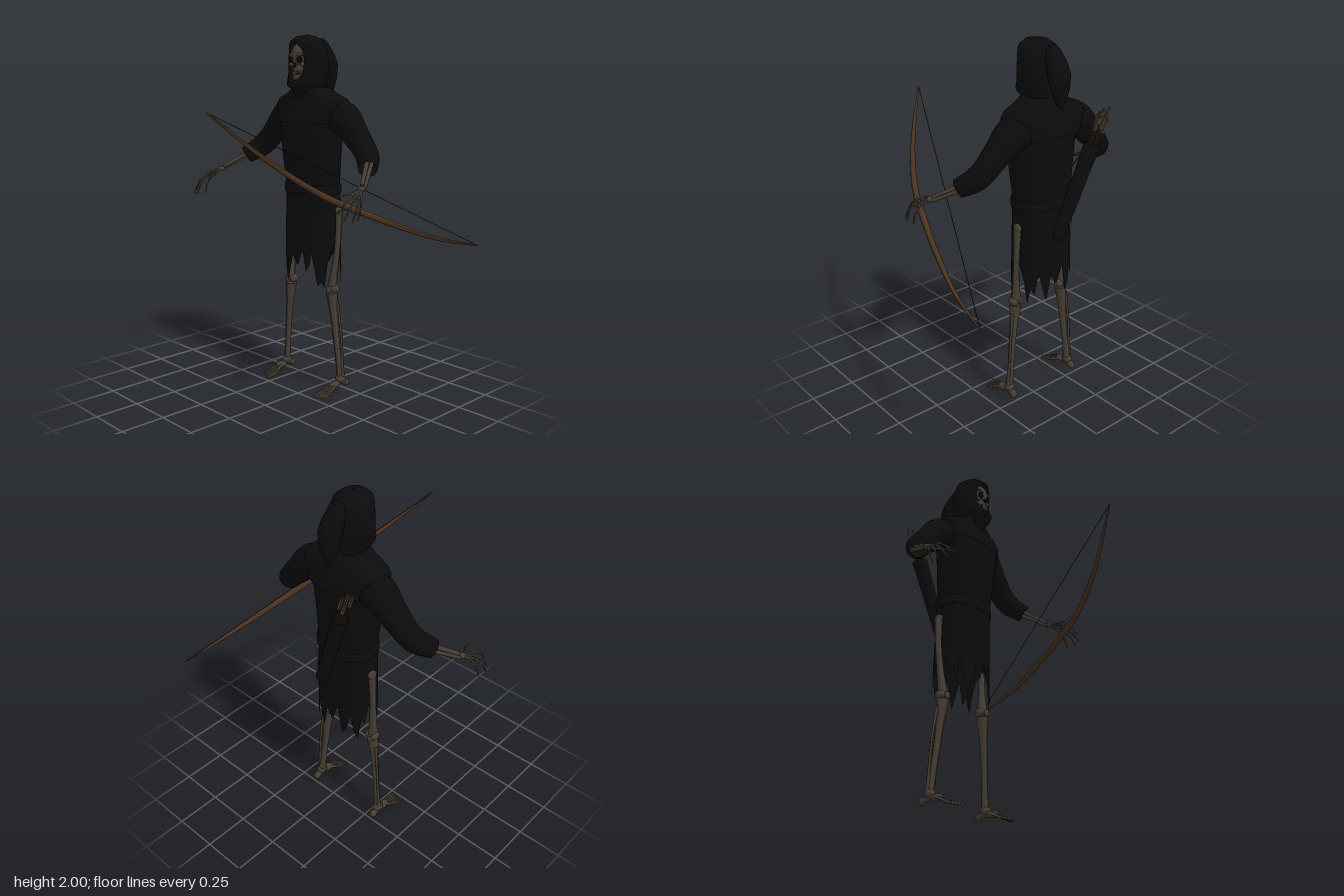
import * as THREE from 'three';

const mat = (name, color, side = THREE.FrontSide) => {
  const m = new THREE.MeshStandardMaterial({ color, side });
  m.name = name;
  return m;
};
const V = (p) => new THREE.Vector3(...p);
const UP = new THREE.Vector3(0, 1, 0);

export function createModel() {
  const cloth = mat('black cloth', 0x0b0b0c, THREE.DoubleSide);
  const leather = mat('black leather', 0x0d0c0c, THREE.DoubleSide);
  const bone = mat('old bone', 0x463e34, THREE.DoubleSide);
  const wood = mat('bow wood', 0x4a321e);
  const string = mat('bow string', 0x1c1a18);
  const fletch = mat('arrow feather', 0x5e5546, THREE.DoubleSide);
  const dark = mat('hollow', 0x050505);
  const teeth = mat('teeth', 0x6a6152);

  const model = new THREE.Group();
  const body = new THREE.Group();
  body.name = 'archer';
  body.position.x = -0.083;
  model.add(body);

  const add = (parent, name, geo, material, pos) => {
    const m = new THREE.Mesh(geo, material);
    m.name = name;
    if (pos) m.position.set(...pos);
    parent.add(m);
    return m;
  };
  const ball = (parent, name, pos, r, material = bone) => {
    const m = add(parent, name, new THREE.SphereGeometry(1, 14, 10), material, pos);
    m.scale.set(...(Array.isArray(r) ? r : [r, r, r]));
    return m;
  };
  // straight tapered rod between two points
  const rod = (parent, name, a, b, ra, rb, material = bone, sides = 8) => {
    const d = V(b).sub(V(a));
    const m = add(parent, name, new THREE.CylinderGeometry(rb, ra, d.length(), sides), material);
    m.position.copy(V(a)).addScaledVector(d, 0.5);
    m.quaternion.setFromUnitVectors(UP, d.normalize());
    return m;
  };
  // curved tube whose radius follows a list of values
  const taper = (parent, name, pts, radii, material, seg = 24, sides = 14) => {
    const curve = new THREE.CatmullRomCurve3(pts.map(V));
    const geo = new THREE.TubeGeometry(curve, seg, 1, sides);
    const pos = geo.attributes.position, v = new THREE.Vector3();
    for (let i = 0; i <= seg; i++) {
      const c = curve.getPointAt(i / seg), f = (i / seg) * (radii.length - 1);
      const k = Math.min(Math.floor(f), radii.length - 2);
      const r = THREE.MathUtils.lerp(radii[k], radii[k + 1], f - k);
      for (let j = 0; j <= sides; j++) {
        const n = i * (sides + 1) + j;
        v.fromBufferAttribute(pos, n).sub(c).multiplyScalar(r).add(c);
        pos.setXYZ(n, v.x, v.y, v.z);
      }
    }
    geo.computeVertexNormals();
    return add(parent, name, geo, material);
  };
  // cross-sections from top to bottom: [y, half width, front z, back z, front gap angle]
  const loft = (parent, name, rings, material, { n = 40, open = false, hem = null, power = 0.85 } = {}) => {
    const pos = [], idx = [], w = open ? n + 1 : n;
    const bend = (c) => Math.sign(c) * Math.abs(c) ** power;
    rings.forEach(([y, rx, zf, zb, gap = 0], i) => {
      for (let j = 0; j < w; j++) {
        const t = gap + (j / n) * (2 * Math.PI - 2 * gap);
        const yy = hem && i === rings.length - 1 ? hem[j] : y;
        pos.push(rx * bend(Math.sin(t)), yy, (zf + zb) / 2 + ((zf - zb) / 2) * bend(Math.cos(t)));
      }
      if (i) for (let j = 0; j < n; j++) {
        const a = (i - 1) * w + j, b = (i - 1) * w + ((j + 1) % w);
        idx.push(a, a + w, b, b, a + w, b + w);
      }
    });
    const geo = new THREE.BufferGeometry();
    geo.setAttribute('position', new THREE.Float32BufferAttribute(pos, 3));
    geo.setIndex(idx);
    geo.computeVertexNormals();
    return add(parent, name, geo, material);
  };

  // robe
  loft(body, 'robe', [[1.7, 0.085, -0.1, -0.27], [1.65, 0.2, -0.085, -0.3], [1.6, 0.215, -0.06, -0.32],
    [1.5, 0.19, -0.042, -0.325], [1.35, 0.177, -0.05, -0.32], [1.17, 0.163, -0.075, -0.315], [1.1, 0.163, -0.075, -0.315]], cloth);
  loft(body, 'mantle', [[1.72, 0.09, -0.09, -0.265], [1.69, 0.14, -0.09, -0.285], [1.655, 0.225, -0.085, -0.305],
    [1.62, 0.24, -0.07, -0.32], [1.53, 0.2, -0.038, -0.335]], cloth, { power: 0.7 });
  loft(body, 'belt', [[1.185, 0.163, -0.08, -0.31], [1.18, 0.173, -0.066, -0.325], [1.135, 0.173, -0.066, -0.325],
    [1.13, 0.163, -0.08, -0.31]], leather);
  const hem = [0.72, 0.82, 0.78, 0.83, 0.73, 0.62, 0.64, 0.61, 0.76, 0.82,
    0.86, 0.8, 0.74, 0.61, 0.7, 0.66, 0.79, 0.7, 0.62, 0.76,
    0.7, 0.8, 0.64, 0.68, 0.78, 0.66, 0.62, 0.75, 0.72, 0.82,
    0.86, 0.78, 0.72, 0.76, 0.7, 0.8, 0.7, 0.61, 0.68, 0.78];
  loft(body, 'tattered skirt', [[1.14, 0.163, -0.075, -0.315], [1.0, 0.165, -0.075, -0.318],
    [0.87, 0.168, -0.075, -0.322], [0.7, 0.172, -0.075, -0.325]], cloth, { hem, power: 0.8 });

  // hood with an open face, and its hanging point
  loft(body, 'hood', [[2.0, 0.005, -0.14, -0.16], [1.99, 0.055, -0.08, -0.2], [1.965, 0.09, -0.052, -0.235],
    [1.95, 0.1, -0.05, -0.245, 0.2], [1.92, 0.108, -0.052, -0.252, 0.45], [1.86, 0.117, -0.055, -0.265, 0.52],
    [1.8, 0.113, -0.05, -0.268, 0.5], [1.765, 0.1, -0.034, -0.265, 0.36], [1.745, 0.093, -0.022, -0.262, 0],
    [1.725, 0.088, -0.024, -0.262], [1.7, 0.08, -0.07, -0.268], [1.66, 0.1, -0.085, -0.28]], cloth, { open: true, power: 1 });
  loft(body, 'hood tail', [[1.985, 0.006, -0.26, -0.27], [1.96, 0.035, -0.22, -0.295], [1.9, 0.055, -0.23, -0.335],
    [1.84, 0.062, -0.25, -0.362], [1.77, 0.052, -0.272, -0.358], [1.7, 0.03, -0.3, -0.342], [1.67, 0.008, -0.315, -0.33]],
  cloth, { n: 20, power: 1 });

  // skull
  const skull = new THREE.Group();
  skull.name = 'skull';
  body.add(skull);
  ball(skull, 'cranium', [0, 1.885, -0.135], [0.075, 0.085, 0.088]);
  ball(skull, 'upper jaw', [0, 1.82, -0.1], [0.042, 0.04, 0.048]);
  ball(skull, 'chin', [0, 1.772, -0.092], [0.036, 0.025, 0.042]);
  ball(skull, 'nose hole', [0, 1.838, -0.056], [0.009, 0.014, 0.01], dark);
  add(skull, 'mouth gap', new THREE.BoxGeometry(0.046, 0.016, 0.01), dark, [0, 1.795, -0.058]);
  for (const s of [-1, 1]) {
    ball(skull, 'eye socket', [s * 0.027, 1.868, -0.062], [0.019, 0.018, 0.014], dark);
    ball(skull, 'brow', [s * 0.027, 1.893, -0.06], [0.026, 0.009, 0.013]);
    ball(skull, 'cheekbone', [s * 0.042, 1.842, -0.075], [0.018, 0.012, 0.018]);
  }
  for (let i = 0; i < 6; i++) {
    for (const y of [1.8, 1.789]) add(skull, 'tooth', new THREE.BoxGeometry(0.006, 0.009, 0.008), teeth, [(i - 2.5) * 0.0078, y, -0.054]);
  }

  // arms and legs, mirrored; s = 1 is the model's left
  const tips = [[0.617, 1.09, 0.1], [0.627, 1.09, 0.15], [0.605, 1.1, 0.185], [0.575, 1.13, 0.197], [0.505, 1.19, 0.155]];
  for (const s of [-1, 1]) {
    const side = s > 0 ? 'left' : 'right';
    const arm = new THREE.Group(), leg = new THREE.Group();
    arm.name = side + 'Arm';
    leg.name = side + 'Leg';
    body.add(arm, leg);
    const M = ([x, y, z]) => [s * x, y, z];

    taper(arm, 'sleeve', [[0.12, 1.57, -0.2], [0.22, 1.555, -0.21], [0.32, 1.465, -0.205], [0.415, 1.37, -0.185], [0.485, 1.31, -0.115]].map(M),
      [0.09, 0.092, 0.076, 0.066, 0.062, 0.05], cloth, 24, 18);
    rod(arm, 'radius bone', M([0.42, 1.37, -0.19]), M([0.553, 1.245, 0.005]), 0.014, 0.011);
    rod(arm, 'ulna bone', M([0.44, 1.345, -0.2]), M([0.567, 1.23, 0]), 0.012, 0.009);
    ball(arm, 'wrist', M([0.563, 1.23, 0.02]), [0.018, 0.015, 0.022]);
    tips.forEach((t, i) => {
      const thumb = i === 4;
      const w = [0.563, 1.23, 0.02];
      const mix = (f, lift, out) => [w[0] + (t[0] - w[0]) * f + out, w[1] + (t[1] - w[1]) * f + lift, w[2] + (t[2] - w[2]) * f];
      const k = thumb ? mix(0.45, -0.005, 0) : mix(0.48, 0.03, 0.012);
      const m = thumb ? mix(0.75, 0, -0.006) : mix(0.78, 0.024, 0.012);
      [[w, k, 0.0065], [k, m, 0.0055], [m, t, 0.0045]].forEach(([a, b, r]) => {
        rod(arm, 'finger bone', M(a), M(b), r, r * 0.8, bone, 6);
        ball(arm, 'knuckle', M(b), r * 1.2);
      });
    });

    const knee = [0.168, 0.585, -0.183], ankle = [0.222, 0.085, -0.2];
    ball(leg, 'hip knob', M([0.186, 1.045, -0.217]), [0.017, 0.024, 0.028]);
    taper(leg, 'femur', [[0.186, 1.05, -0.217], [0.186, 0.85, -0.208], [0.168, 0.6, -0.185]].map(M), [0.022, 0.018, 0.017, 0.02, 0.028], bone, 12, 10);
    for (const dx of [-0.018, 0.018]) ball(leg, 'knee knob', M([knee[0] + dx, 0.6, -0.188]), [0.023, 0.026, 0.03]);
    ball(leg, 'kneecap', M([knee[0], 0.595, -0.155]), [0.019, 0.022, 0.011]);
    taper(leg, 'tibia', [[0.168, 0.575, -0.183], [0.19, 0.38, -0.187], ankle].map(M), [0.034, 0.022, 0.019, 0.017, 0.02], bone, 12, 10);
    taper(leg, 'fibula', [[0.2, 0.53, -0.195], [0.222, 0.33, -0.205], [0.238, 0.08, -0.205]].map(M), [0.009, 0.007, 0.007, 0.011], bone, 10, 8);
    ball(leg, 'ankle', M([0.225, 0.075, -0.2]), [0.028, 0.026, 0.032]);
    rod(leg, 'heel bone', M([0.225, 0.065, -0.19]), M([0.227, 0.047, -0.242]), 0.02, 0.018);
    ball(leg, 'heel', M([0.227, 0.045, -0.242]), 0.02);
    ball(leg, 'instep', M([0.225, 0.053, -0.155]), [0.024, 0.018, 0.04]);
    for (let i = 0; i < 5; i++) {
      const x = 0.195 + i * 0.0145, end = -0.022 - i * 0.007;
      const a = [0.212 + i * 0.007, 0.055, -0.15], b = [x, 0.023, -0.08], c = [x, 0.009, end];
      rod(leg, 'foot bone', M(a), M(b), 0.009, 0.007, bone, 6);
      rod(leg, 'toe', M(b), M(c), 0.0075, 0.006, bone, 6);
      ball(leg, 'toe joint', M(b), 0.0095);
      ball(leg, 'toe tip', M(c), 0.008);
    }
  }

  // quiver and arrows across the back
  const quiver = new THREE.Group();
  quiver.name = 'quiver';
  const base = V([-0.045, 0.99, -0.358]), axis = V([-0.235, 1.48, -0.405]).sub(base);
  quiver.position.copy(base);
  quiver.quaternion.setFromUnitVectors(UP, axis.clone().normalize());
  model.add(quiver);
  const L = axis.length();
  const profile = [[0, 0], [0.026, 0], [0.034, 0.02], [0.04, L * 0.9], [0.043, L * 0.91], [0.043, L], [0.036, L], [0.034, L * 0.85], [0, L * 0.85]];
  add(quiver, 'quiver case', new THREE.LatheGeometry(profile.map(([x, y]) => new THREE.Vector2(x, y)), 20), leather);
  for (let i = 0; i < 6; i++) {
    const a = i * 1.05, x = 0.022 * Math.cos(a), z = 0.022 * Math.sin(a), top = L + 0.15 + 0.018 * (i % 4);
    rod(quiver, 'arrow shaft', [x * 0.8, 0.3, z * 0.8], [x * 1.1, top, z * 1.1], 0.0035, 0.0035, wood, 6);
    for (let k = 0; k < 3; k++) {
      const f = add(quiver, 'arrow feather', new THREE.BoxGeometry(0.02, 0.07, 0.002), fletch, [x * 1.1, top - 0.05, z * 1.1]);
      f.rotation.y = a + (k * Math.PI) / 3;
    }
  }

  // bow held in the left hand
  const bow = new THREE.Group();
  bow.name = 'bow';
  model.add(bow);
  const bowPath = [[0.08, 0.675], [0.28, 0.455], [0.42, 0.245], [0.505, 0.045], [0.595, -0.205], [0.66, -0.42], [0.711, -0.67]]
    .map(([x, z]) => [x, 1.62 - (x - 0.08) * 1.181, z]);
  taper(bow, 'bow stave', bowPath, [0.004, 0.011, 0.015, 0.018, 0.015, 0.011, 0.004], wood, 48, 12);
  rod(bow, 'bow string', bowPath[0], bowPath[6], 0.002, 0.002, string, 6);
  return model;
}
